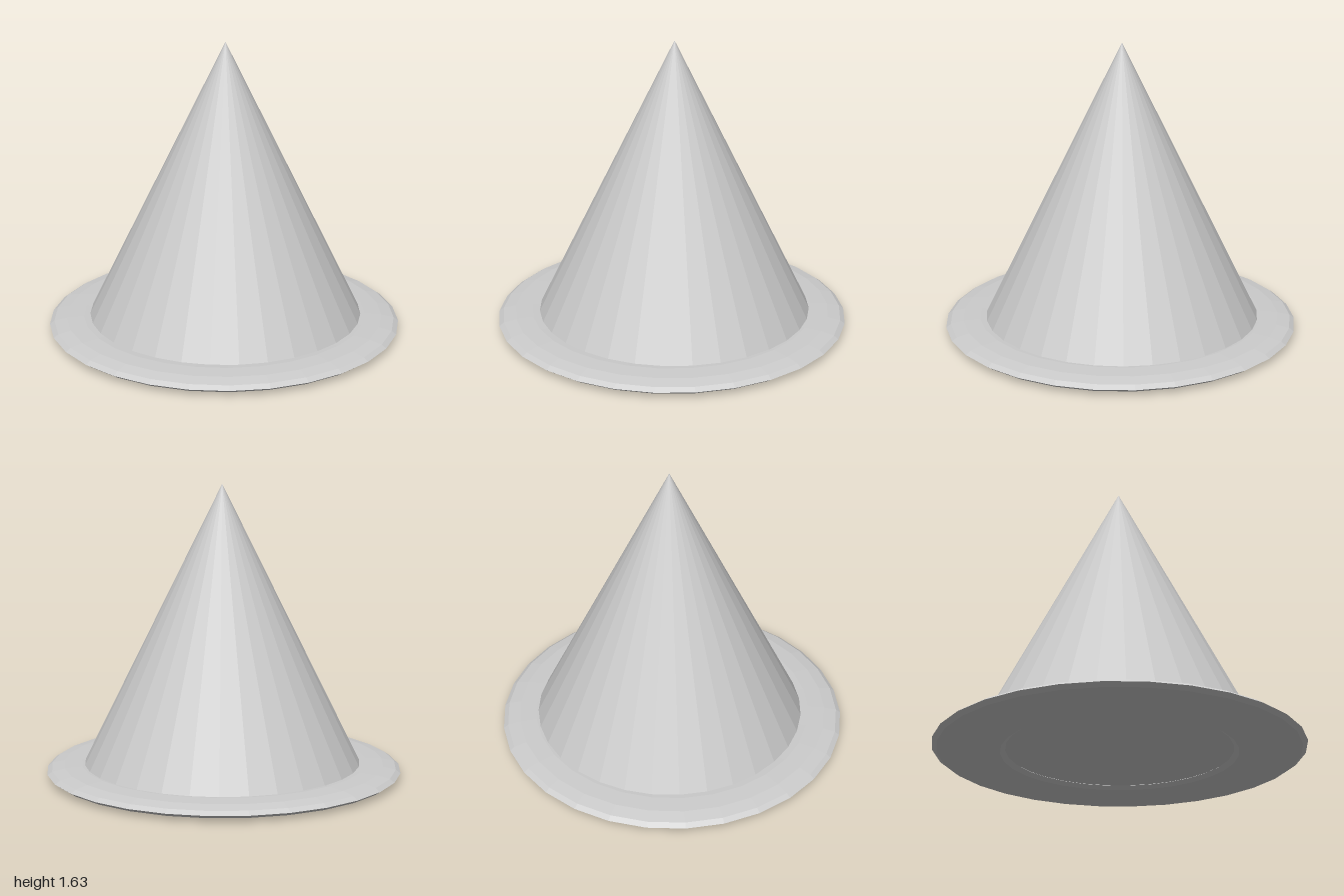
import * as THREE from 'three';

export function createModel() {
  const model = new THREE.Group();
  const material = new THREE.MeshStandardMaterial({ color: 0xcccccc, flatShading: true });

  // Brim: a torus lying flat, squashed to a thin ring
  const tube = 0.194, halfHeight = 0.037;
  const brimGeometry = new THREE.TorusGeometry(1 - tube, tube, 12, 30);
  brimGeometry.rotateX(Math.PI / 2);
  brimGeometry.scale(1, halfHeight / tube, 1);
  const brim = new THREE.Mesh(brimGeometry, material);
  brim.name = 'brim';
  brim.position.y = halfHeight;
  model.add(brim);

  // Crown: closed cone whose base sits halfway up the brim, slightly towards the back
  const baseY = 0.04, apexY = 1.63;
  const crown = new THREE.Mesh(new THREE.ConeGeometry(0.794, apexY - baseY, 32), material);
  crown.name = 'crown';
  crown.position.set(0, (baseY + apexY) / 2, -0.015);
  model.add(crown);

  return model;
}
